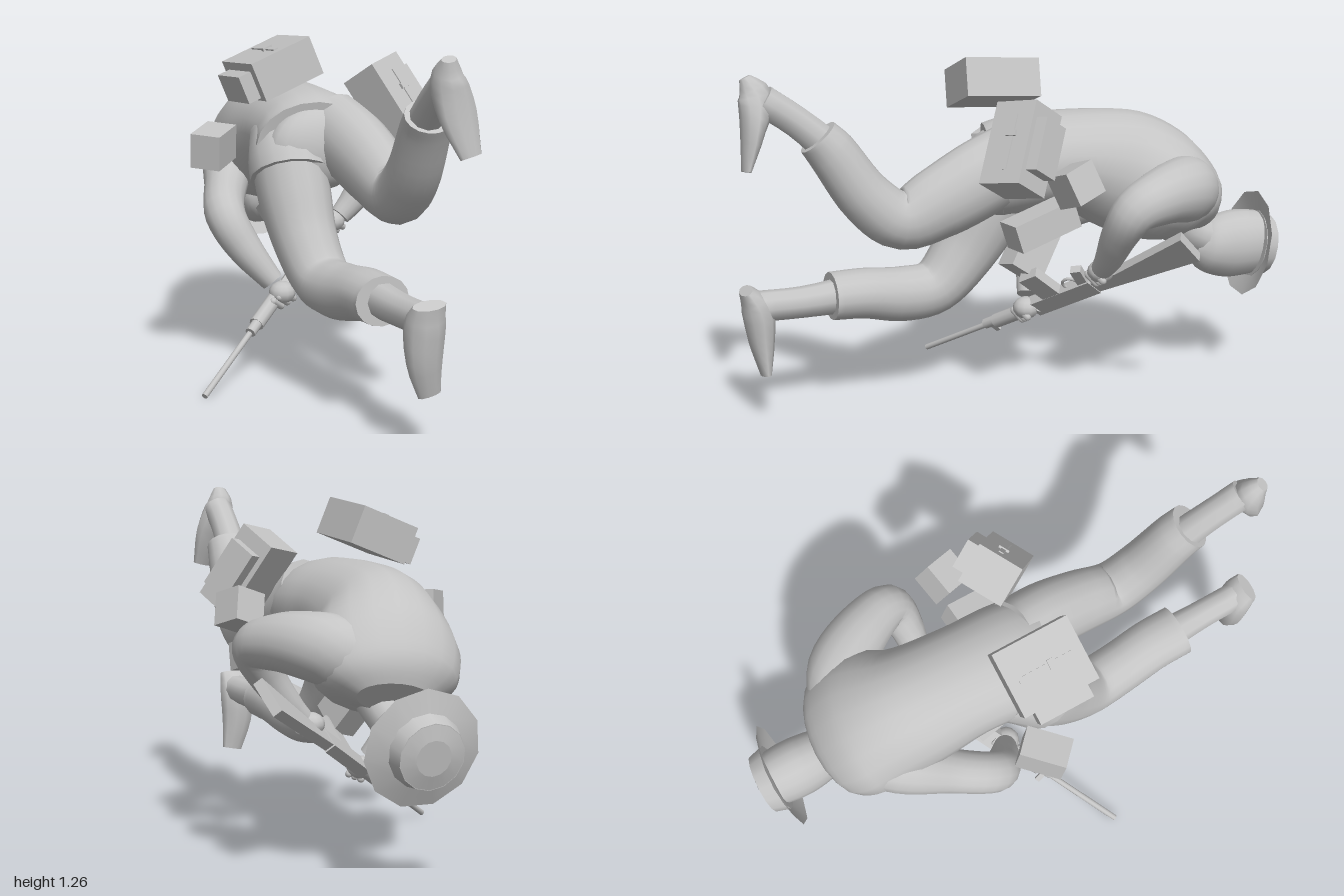
import * as THREE from 'three';

const grey = new THREE.MeshStandardMaterial({ color: 0xc4c4c4, side: THREE.DoubleSide });
grey.name = 'plain grey';
const V = (x, y, z) => new THREE.Vector3(x, y, z);

// Smooth limb through rows of [x, y, z, half width, half depth], with flat end caps
function loft(rows, steps = 5, sides = 16) {
  const path = new THREE.CatmullRomCurve3(rows.map(r => V(r[0], r[1], r[2])));
  const size = new THREE.CatmullRomCurve3(rows.map((r, i) => V(r[3], r[4] ?? r[3], i)));
  const n = (rows.length - 1) * steps, pos = [], idx = [];
  const rings = [];
  for (let i = 0; i <= n; i++) {
    const c = path.getPoint(i / n), k = size.getPoint(i / n), t = path.getTangent(i / n);
    const s = V(1, 0, 0).addScaledVector(t, -t.x).normalize(), w = t.clone().cross(s);
    const ring = [];
    for (let j = 0; j < sides; j++) {
      const a = j / sides * Math.PI * 2;
      ring.push(c.clone().addScaledVector(s, k.x * Math.cos(a)).addScaledVector(w, k.y * Math.sin(a)));
    }
    rings.push(ring);
    ring.forEach(p => pos.push(p.x, p.y, p.z));
  }
  for (let i = 0; i < n; i++) for (let j = 0; j < sides; j++) {
    const a = i * sides + j, b = i * sides + (j + 1) % sides;
    idx.push(a, b, a + sides, b, b + sides, a + sides);
  }
  [[rings[0], path.getPoint(0), true], [rings[n], path.getPoint(1), false]].forEach(([ring, c, start]) => {
    const base = pos.length / 3;
    [c, ...ring].forEach(p => pos.push(p.x, p.y, p.z));
    for (let j = 0; j < sides; j++) {
      const a = base + 1 + j, b = base + 1 + (j + 1) % sides;
      idx.push(base, start ? b : a, start ? a : b);
    }
  });
  const g = new THREE.BufferGeometry();
  g.setAttribute('position', new THREE.Float32BufferAttribute(pos, 3));
  g.setIndex(idx);
  g.computeVertexNormals();
  return g;
}

function add(parent, name, geo, at = [0, 0, 0], rot = [0, 0, 0]) {
  const m = new THREE.Mesh(geo, grey);
  m.name = name;
  m.position.set(...at);
  m.rotation.set(...rot);
  parent.add(m);
  return m;
}
const box = (...s) => new THREE.BoxGeometry(...s);

// Group whose local x follows u and local y follows v
function oriented(parent, name, at, u, v) {
  const g = new THREE.Group();
  g.name = name;
  const x = u.clone().normalize();
  const y = v.clone().addScaledVector(x, -v.dot(x)).normalize();
  g.quaternion.setFromRotationMatrix(new THREE.Matrix4().makeBasis(x, y, x.clone().cross(y)));
  g.position.set(...at);
  parent.add(g);
  return g;
}

// Box or rod along the gun, from a to b lengthwise
function along(gun, name, a, b, h, d, y = 0) {
  return add(gun, name, box(b - a, h, d), [(a + b) / 2, y, 0]);
}
function rod(gun, name, a, b, r, y = 0) {
  return add(gun, name, new THREE.CylinderGeometry(r, r, b - a, 10), [(a + b) / 2, y, 0], [0, 0, Math.PI / 2]);
}

export function createModel() {
  const model = new THREE.Group();
  model.name = 'crouching soldier';

  // Jacket, its skirt over the right thigh, and seat
  add(model, 'jacket', loft([
    [-0.03, 0.85, 0.07, 0.215, 0.165], [-0.01, 0.865, -0.01, 0.21, 0.175], [0.005, 0.87, -0.2, 0.2, 0.18],
    [0.03, 0.815, -0.41, 0.22, 0.225], [0.085, 0.745, -0.56, 0.26, 0.21],
    [0.115, 0.685, -0.66, 0.23, 0.15], [0.13, 0.64, -0.71, 0.13, 0.07]], 5, 20));
  add(model, 'jacketSkirt', loft([
    [-0.07, 0.87, -0.08, 0.14, 0.14], [-0.1, 0.8, 0, 0.15, 0.15], [-0.112, 0.74, 0.04, 0.148, 0.155]]));
  add(model, 'seat', new THREE.SphereGeometry(1, 20, 14), [-0.02, 0.84, 0.06]).scale.set(0.19, 0.155, 0.1);

  // Legs
  add(model, 'leftLeg', loft([
    [0.06, 0.9, 0.02, 0.12, 0.14], [0.08, 0.85, 0.16, 0.12, 0.14], [0.09, 0.785, 0.31, 0.112, 0.13],
    [0.09, 0.735, 0.46, 0.1, 0.105], [0.08, 0.82, 0.575, 0.095, 0.095],
    [0.06, 0.99, 0.69, 0.088, 0.085], [0.05, 1.045, 0.735, 0.085, 0.075]]));
  add(model, 'rightLeg', loft([
    [-0.11, 0.82, 0, 0.13, 0.14], [-0.11, 0.68, 0.06, 0.13, 0.14], [-0.11, 0.53, 0.15, 0.115, 0.12],
    [-0.1, 0.41, 0.27, 0.105, 0.1], [-0.09, 0.4, 0.4, 0.1, 0.1],
    [-0.08, 0.425, 0.55, 0.1, 0.09], [-0.08, 0.43, 0.67, 0.1, 0.085]]));

  // Ankles and shoes
  add(model, 'leftAnkle', loft([[0.05, 0.99, 0.68, 0.062], [0.03, 1.1, 0.8, 0.055], [0.015, 1.18, 0.91, 0.055]], 3, 10));
  add(model, 'leftShoe', loft([
    [-0.015, 1.255, 0.96, 0.025, 0.02], [0, 1.19, 0.93, 0.055, 0.06],
    [0.025, 1.08, 0.95, 0.07, 0.04], [0.055, 0.95, 0.985, 0.04, 0.015]], 3, 10));
  add(model, 'rightAnkle', loft([[-0.075, 0.43, 0.62, 0.065], [-0.07, 0.425, 0.78, 0.056], [-0.07, 0.43, 0.94, 0.055]], 3, 10));
  add(model, 'rightShoe', loft([
    [-0.08, 0.49, 0.975, 0.06, 0.025], [-0.075, 0.42, 0.94, 0.072, 0.055],
    [-0.07, 0.3, 0.93, 0.065, 0.045], [-0.045, 0.18, 0.925, 0.042, 0.018]], 3, 10));

  // Arms
  add(model, 'leftArm', loft([
    [0.18, 0.75, -0.6, 0.12], [0.29, 0.79, -0.54, 0.12], [0.38, 0.8, -0.4, 0.1], [0.42, 0.77, -0.28, 0.08],
    [0.37, 0.68, -0.25, 0.066], [0.28, 0.56, -0.25, 0.05], [0.23, 0.51, -0.25, 0.04]]));
  add(model, 'rightArm', loft([
    [-0.01, 0.74, -0.6, 0.12], [-0.105, 0.72, -0.52, 0.11], [-0.19, 0.64, -0.38, 0.082],
    [-0.255, 0.56, -0.23, 0.075], [-0.21, 0.45, -0.17, 0.065], [-0.12, 0.32, -0.11, 0.042]]));
  [['leftHand', 0.2, 0.49, -0.26], ['rightHand', -0.09, 0.28, -0.09]].forEach(([name, x, y, z]) => {
    add(model, name, new THREE.SphereGeometry(1, 12, 8), [x, y, z]).scale.set(0.05, 0.042, 0.05);
    for (let i = 0; i < 3; i++)
      add(model, name + 'Finger', new THREE.CapsuleGeometry(0.014, 0.05, 3, 8), [x - 0.03 + i * 0.025, y - 0.035 + i * 0.012, z + 0.02], [0.6, 0, 0.9]);
  });

  // Neck and head
  add(model, 'neck', loft([[0.12, 0.65, -0.56, 0.09], [0.13, 0.58, -0.65, 0.07], [0.135, 0.53, -0.76, 0.07]], 3, 12));
  add(model, 'head', loft([
    [0.135, 0.525, -0.67, 0.05, 0.055], [0.135, 0.515, -0.72, 0.09, 0.1], [0.135, 0.51, -0.8, 0.105, 0.125],
    [0.137, 0.51, -0.87, 0.107, 0.127], [0.14, 0.507, -0.93, 0.1, 0.12]], 4, 18));

  // Brimmed hat
  const hat = oriented(model, 'hat', [0.14, 0.505, -0.912], V(1, 0, 0.11), V(0.11, -0.19, -0.97));
  add(hat, 'brim', new THREE.CylinderGeometry(0.12, 0.2, 0.025, 11, 1, true));
  add(hat, 'crown', new THREE.CylinderGeometry(0.112, 0.127, 0.055, 14), [0, 0.035, 0]);
  add(hat, 'crownTop', new THREE.CylinderGeometry(0.06, 0.112, 0.012, 14), [0, 0.068, 0]);

  // Left hip pack with side pocket, strap and buckle
  const left = oriented(model, 'leftPack', [0.27, 0.99, 0.085], V(0.126, -0.26, 0.123), V(0.145, 0.03, -0.085));
  add(left, 'packBody', box(0.3, 0.17, 0.15));
  add(left, 'packPocket', box(0.19, 0.05, 0.11), [0, 0.105, 0]);
  add(left, 'packStrap', box(0.2, 0.018, 0.006), [0, 0.01, 0.076]);
  add(left, 'packBuckle', box(0.02, 0.04, 0.012), [-0.03, 0.01, 0.078]);

  // Right hip pack
  const right = oriented(model, 'rightPack', [-0.172, 1.133, 0.01], V(0.92, 0.36, 0), V(-0.36, 0.92, -0.08));
  add(right, 'packBody', box(0.235, 0.14, 0.28));
  add(right, 'packPocket', box(0.05, 0.1, 0.2), [-0.14, -0.01, 0]);
  add(right, 'packStrap', box(0.018, 0.006, 0.2), [0, 0.072, 0]);
  add(right, 'packBuckle', box(0.035, 0.012, 0.02), [0, 0.074, 0.02]);

  // Belt and chest pouches
  add(model, 'rightPouch', box(0.165, 0.125, 0.11), [-0.358, 0.85, -0.09], [0.1, 0.8, 0.06]);
  add(model, 'leftLowPouch', box(0.12, 0.1, 0.24), [0.262, 0.715, 0.005], [0.28, 0.1, 0.06]);
  add(model, 'leftSidePouch', box(0.12, 0.12, 0.12), [0.38, 0.878, -0.073], [0.3, 0.3, 0.25]);
  const chest = oriented(model, 'chestPouch', [-0.055, 0.54, -0.1], V(-0.08, 0.2, -0.143), V(0, 0.143, 0.2));
  add(chest, 'pouchBody', box(0.24, 0.14, 0.1));

  // Rifle: local x runs from the muzzle to the butt
  const gun = oriented(model, 'rifle', [-0.507, 0.012, 0.16], V(0.99, 0.63, -0.645), V(0.02, 0.59, 0.8));
  rod(gun, 'barrel', 0, 0.38, 0.011);
  rod(gun, 'gasTube', 0.33, 0.48, 0.02, 0.006);
  along(gun, 'frontSight', 0.34, 0.36, 0.05, 0.012, -0.025);
  rod(gun, 'handguard', 0.38, 0.6, 0.028);
  along(gun, 'receiver', 0.58, 0.88, 0.075, 0.042);
  along(gun, 'magazine', 0.66, 0.74, 0.16, 0.04, 0.09);
  along(gun, 'grip', 0.84, 0.88, 0.1, 0.03, 0.06).rotation.z = -0.35;
  add(gun, 'triggerGuard', new THREE.TorusGeometry(0.03, 0.006, 6, 14), [0.8, 0.045, 0]);
  const stock = new THREE.Shape([[0.86, -0.03], [1.31, -0.065], [1.33, 0.07], [1.0, 0.025], [0.86, 0.025]].map(p => new THREE.Vector2(...p)));
  add(gun, 'stock', new THREE.ExtrudeGeometry(stock, { depth: 0.036, bevelEnabled: false }), [0, 0, -0.018]);

  return model;
}
